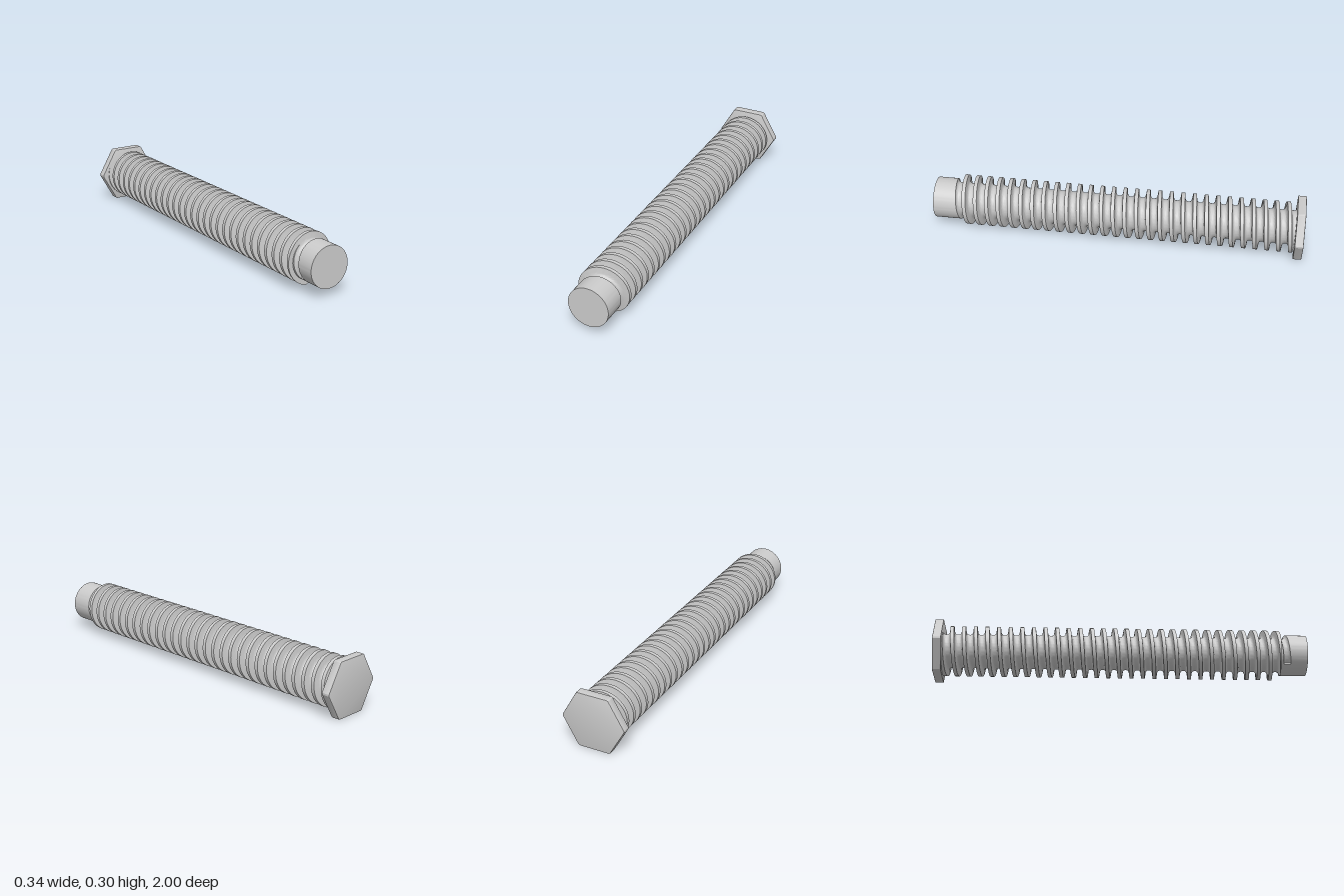
import * as THREE from 'three';
import { toCreasedNormals } from 'three/addons/utils/BufferGeometryUtils.js';

const AXIS_Y = 0.15;
const PITCH = 0.0625, TURNS = 31, SEGMENTS = 72;
const CREST = 0.135, TIP = 0.11;
const Z_BACK = -0.97, Z_STEP = 0.856, Z_FRONT = 1;
const START = -132; // angle in degrees where the groove begins

// Groove cross-section: [offset along the axis, radius]
const half = [[0, 0.09], [0.007, 0.0905], [0.012, 0.093], [0.0155, 0.098], [0.0175, 0.104],
  [0.0184, TIP], [0.0215, CREST]];
const groove = [...half.slice(1).reverse().map(([d, r]) => [-d, r]), ...half];

const grooveCentre = (deg) => 0.868 + PITCH * (deg - 90) / 360;

// Radius of the threaded rod at an angle and position; firstTurn skips leading turns
function radiusAt(deg, z, firstTurn) {
  const c = grooveCentre(deg);
  const turn = Math.max(firstTurn, Math.round((c - z) / PITCH));
  const d = Math.abs(z - c + turn * PITCH);
  for (let i = 1; i < half.length; i++) {
    const [d0, r0] = half[i - 1], [d1, r1] = half[i];
    if (d <= d1) return r0 + (r1 - r0) * (d - d0) / (d1 - d0);
  }
  return CREST;
}

// One lengthwise line of points: thread, step down, plain tip, end cap
function column(deg, firstTurn) {
  const zs = [];
  for (let k = TURNS; k >= 0; k--) {
    for (const [o] of groove) zs.push(grooveCentre(deg) - k * PITCH + o);
  }
  const a = THREE.MathUtils.degToRad(deg);
  const at = (r, z) => new THREE.Vector3(r * Math.cos(a), r * Math.sin(a), z);
  const clamp = THREE.MathUtils.clamp;
  const points = [];
  for (const v of [...zs, Z_STEP]) {
    const z = clamp(v, Z_BACK, Z_STEP);
    points.push(at(radiusAt(deg, z, firstTurn), z));
  }
  for (const v of [Z_STEP, ...zs.slice(-3 * groove.length)]) {
    const z = clamp(v, Z_STEP, Z_FRONT);
    points.push(at(Math.min(TIP, radiusAt(deg, z, firstTurn)), z));
  }
  points.push(at(TIP, Z_FRONT), at(0, Z_FRONT));
  return points;
}

function threadedRod() {
  const columns = [];
  for (let i = 0; i <= SEGMENTS; i++) columns.push(column(START + 360 * i / SEGMENTS, 0));
  // Flat wall closing the start of the groove
  const wall = column(START + 360, 0).map((p) => p.clone());
  const zs = wall.map((p) => p.z);
  const a = THREE.MathUtils.degToRad(START + 360);
  const stepIndex = (TURNS + 1) * groove.length;
  columns.push(wall.map((p, j) => {
    if (j === wall.length - 1) return p;
    let r = radiusAt(START + 360, zs[j], 1);
    if (j > stepIndex) r = Math.min(TIP, r);
    return new THREE.Vector3(r * Math.cos(a), r * Math.sin(a), zs[j]);
  }));

  const pos = [];
  const ab = new THREE.Vector3(), ac = new THREE.Vector3();
  const tri = (p, q, r) => {
    const area = ab.subVectors(q, p).cross(ac.subVectors(r, p)).length();
    if (area > 1e-10) pos.push(...p.toArray(), ...q.toArray(), ...r.toArray());
  };
  for (let i = 0; i + 1 < columns.length; i++) {
    const c = columns[i], n = columns[i + 1];
    for (let j = 0; j + 1 < c.length; j++) {
      tri(c[j], n[j], n[j + 1]);
      tri(c[j], n[j + 1], c[j + 1]);
    }
  }
  const geo = new THREE.BufferGeometry();
  geo.setAttribute('position', new THREE.Float32BufferAttribute(pos, 3));
  return toCreasedNormals(geo, 0.6);
}

// Hexagonal head with softened corners and edges
function hexHead() {
  const bevel = 0.004, apothem = 0.15 - bevel, depth = 0.046;
  const corner = apothem / Math.cos(Math.PI / 6), cut = 0.004;
  const corners = Array.from({ length: 6 }, (_, i) =>
    new THREE.Vector2(Math.cos(i * Math.PI / 3), Math.sin(i * Math.PI / 3)).multiplyScalar(corner));
  const points = [];
  corners.forEach((p, i) => {
    for (const q of [corners[(i + 5) % 6], corners[(i + 1) % 6]]) {
      points.push(p.clone().lerp(q, cut / corner));
    }
  });
  const geo = new THREE.ExtrudeGeometry(new THREE.Shape(points), {
    depth: depth - 2 * bevel, bevelEnabled: true, bevelSize: bevel,
    bevelThickness: bevel, bevelSegments: 2,
  });
  geo.translate(0, 0, -1 + bevel);
  return toCreasedNormals(geo, 0.5);
}

export function createModel() {
  const group = new THREE.Group();
  const material = new THREE.MeshStandardMaterial({ color: 0xcccccc });
  for (const [name, geo] of [['threadedRod', threadedRod()], ['hexHead', hexHead()]]) {
    const mesh = new THREE.Mesh(geo, material);
    mesh.name = name;
    mesh.position.y = AXIS_Y;
    group.add(mesh);
  }
  return group;
}
